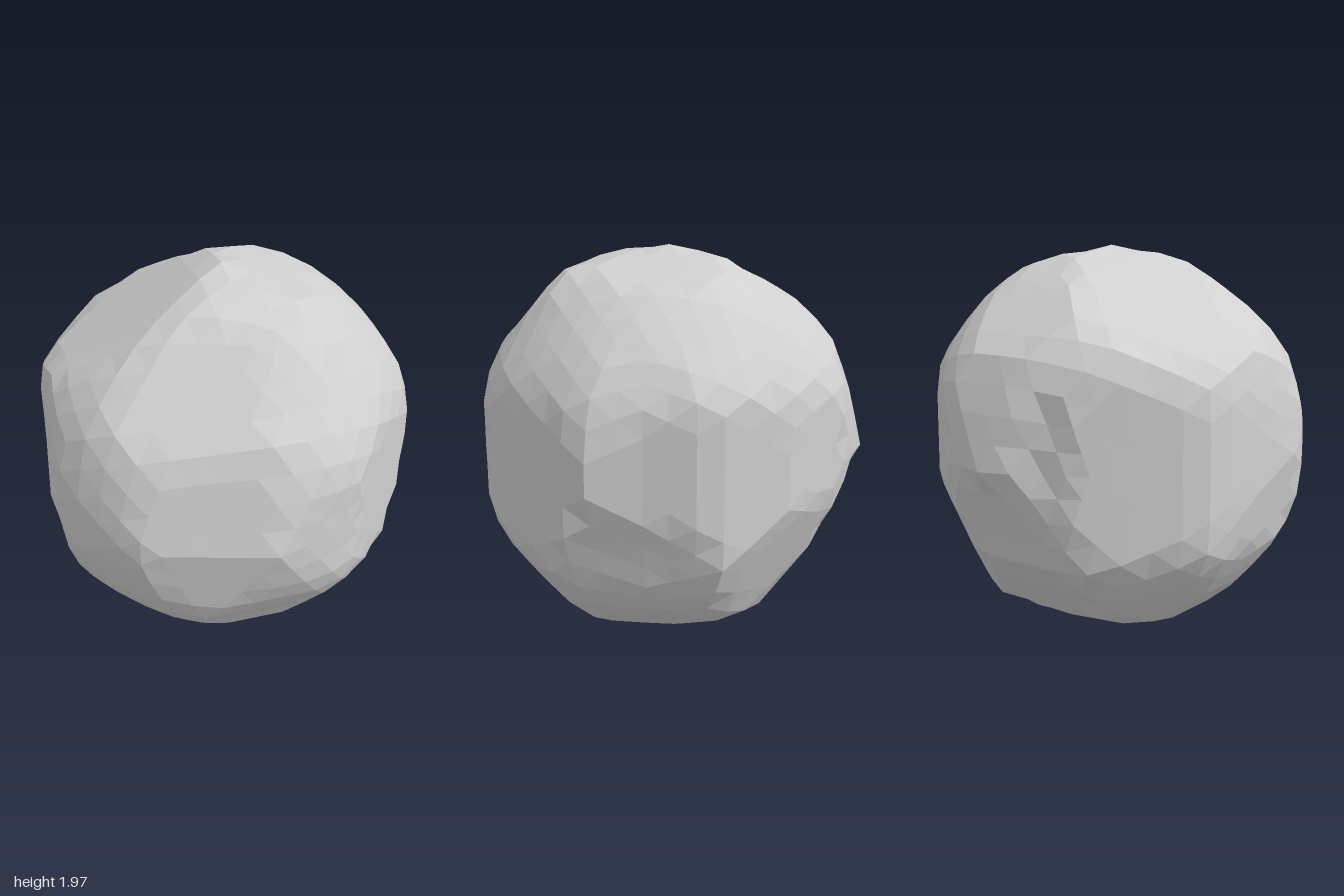
import * as THREE from 'three';

const MID = 0.965; // height of the boulder's core

// Outlines around the core, counter-clockwise: (x, y), (z, y) and (x, z)
const frontOutline = [
  [0.945, 0.965], [0.935, 1.19], [0.875, 1.4], [0.74, 1.64], [0.54, 1.83], [0.27, 1.9], [0, 1.98],
  [-0.21, 1.93], [-0.42, 1.82], [-0.86, 1.5], [-0.9, 1.3], [-0.95, 0.965], [-0.9, 0.74], [-0.86, 0.52],
  [-0.72, 0.31], [-0.51, 0.13], [-0.36, 0.06], [-0.08, 0], [0.1, 0.045], [0.45, 0.07], [0.55, 0.19],
  [0.66, 0.25], [0.8, 0.47], [0.84, 0.64], [0.89, 0.8],
].map(([a, b]) => [a, b - MID]);

const sideOutline = [
  [1, 0.965], [0.95, 1.19], [0.87, 1.48], [0.79, 1.55], [0.52, 1.86], [0.28, 1.93], [0, 1.98],
  [-0.27, 1.93], [-0.5, 1.78], [-0.84, 1.5], [-0.93, 1.25], [-1, 0.965], [-0.93, 0.87], [-0.83, 0.66],
  [-0.77, 0.47], [-0.48, 0.15], [-0.3, 0.12], [0, 0.05], [0.25, 0], [0.5, 0.09], [0.66, 0.24],
  [0.78, 0.44], [0.84, 0.5], [0.94, 0.73],
].map(([a, b]) => [a, b - MID]);

const planOutline = [
  [0.9, 0], [0.945, 0.29], [0.45, 0.84], [0.3, 0.91], [0, 1], [-0.61, 0.84], [-0.8, 0.61],
  [-0.9, 0.44], [-0.95, 0.3], [-0.91, -0.05], [-0.89, -0.31], [-0.85, -0.43], [-0.55, -0.7],
  [-0.41, -0.82], [-0.26, -0.85], [-0.14, -0.95], [0, -1], [0.29, -0.91], [0.62, -0.66], [0.88, -0.31],
];

// Broad flat scrapes: outward normal and distance from the core
const scrapes = [
  [-0.28, 0.233, 0.931, 0.935],   // front, upper band
  [-0.28, -0.15, 0.95, 0.95],     // front, lower left
  [-0.295, 0.674, 0.676, 0.935],  // shoulder above the front
  [-0.487, 0.848, -0.208, 0.88],  // upper back left
  [0.57, -0.4, -0.72, 0.89],      // lower back right
].map(([x, y, z, d]) => ({ normal: new THREE.Vector3(x, y, z).normalize(), d }));

// Prominent corners of the stone, relative to the core
const corners = [
  [-0.6, 0, 0.82], [-0.73, 0.5, 0.52], [0.18, 0.895, 0.56], [0.3, 0.465, 0.83], [-0.42, 0.855, 0.33],
  [-0.27, 0.535, 0.81], [-0.27, -0.435, 0.85], [0.28, -0.5, 0.8], [0.72, 0.435, 0.49],
  [0.8, -0.38, 0.49], [0.45, -0.885, 0.28], [-0.08, -0.965, 0.25], [0.82, -0.42, -0.1],
  [0.17, 0.83, -0.52], [-0.25, 0.59, -0.755], [-0.5, 0.57, -0.67], [0.56, 0.315, -0.735],
  [0.42, -0.8, -0.41], [-0.09, -0.8, -0.5],
].map(([x, y, z]) => {
  const dir = new THREE.Vector3(x, y, z);
  const radius = dir.length();
  return { dir: dir.normalize(), radius };
});

const cross = (ax, ay, bx, by) => ax * by - ay * bx;

// Distance along (u, v) to an outline that surrounds the origin
function reach(outline, u, v) {
  if (Math.hypot(u, v) < 1e-4) return Infinity;
  for (let i = 0; i < outline.length; i++) {
    const [px, py] = outline[i];
    const [qx, qy] = outline[(i + 1) % outline.length];
    if (cross(px, py, u, v) >= -1e-9 && cross(u, v, qx, qy) > 0) {
      return cross(px, py, qx, qy) / cross(u, v, qx - px, qy - py);
    }
  }
  return Infinity;
}

function surfaceRadius(d) {
  const axial = Math.max(Math.abs(d.x), Math.abs(d.y), Math.abs(d.z));
  let r = 0.9 + 0.125 * axial;
  for (const c of corners) {
    const angle = d.angleTo(c.dir);
    r += (c.radius - r) * Math.exp(-((angle / 0.2) ** 2));
  }
  r = Math.min(
    r,
    reach(frontOutline, d.x, d.y),
    reach(sideOutline, d.z, d.y),
    reach(planOutline, d.x, d.z),
  );
  for (const s of scrapes) {
    const facing = s.normal.dot(d);
    if (facing > 0) r = Math.min(r, s.d / facing);
  }
  return r;
}

export function createModel() {
  const stone = new THREE.MeshStandardMaterial({ color: 0xd0d0d0, flatShading: true });
  stone.name = 'pale grey stone';

  // Faceted ball pushed in to the outlines and scrapes
  const geometry = new THREE.IcosahedronGeometry(1, 7);
  geometry.rotateZ(Math.PI / 2);
  const pos = geometry.attributes.position;
  const d = new THREE.Vector3();
  for (let i = 0; i < pos.count; i++) {
    d.fromBufferAttribute(pos, i).normalize();
    d.multiplyScalar(surfaceRadius(d));
    pos.setXYZ(i, d.x, d.y, d.z);
  }
  geometry.computeVertexNormals();

  // Rest the lowest corner on the ground
  geometry.computeBoundingBox();
  geometry.translate(0, -geometry.boundingBox.min.y, 0);

  const boulder = new THREE.Mesh(geometry, stone);
  boulder.name = 'boulder';
  const group = new THREE.Group();
  group.name = 'rock';
  group.add(boulder);
  return group;
}
